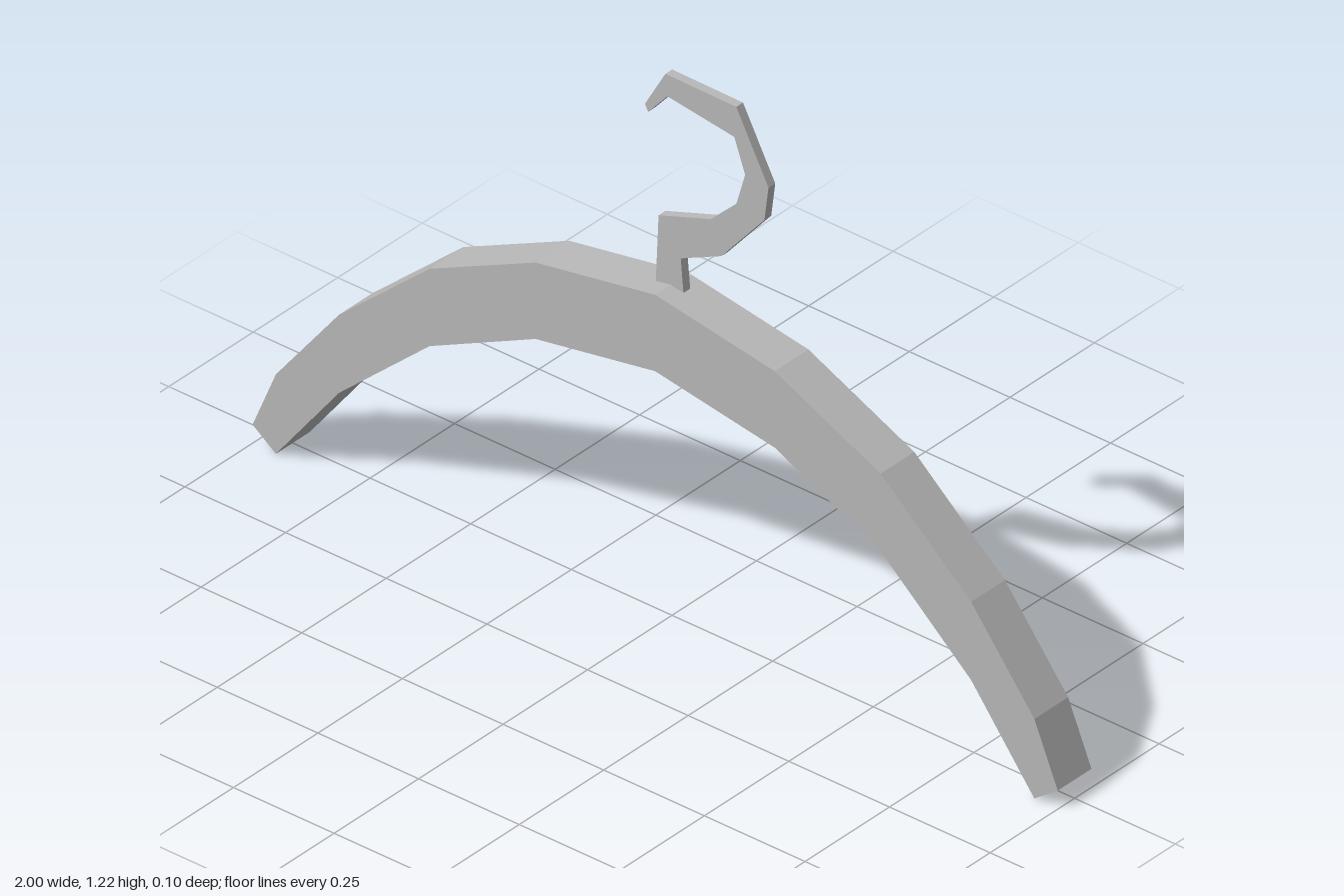
import * as THREE from 'three';

// Extrude a flat outline between two depths
function plate(name, points, zBack, zFront, material) {
  const shape = new THREE.Shape(points.map(([x, y]) => new THREE.Vector2(x, y)));
  const geometry = new THREE.ExtrudeGeometry(shape, { depth: zFront - zBack, bevelEnabled: false });
  geometry.translate(0, 0, zBack);
  const mesh = new THREE.Mesh(geometry, material);
  mesh.name = name;
  return mesh;
}

export function createModel() {
  const group = new THREE.Group();
  group.name = 'coatHanger';
  const grey = new THREE.MeshStandardMaterial({ color: 0xb8b8b8 });
  grey.name = 'grey';

  // Curved shoulder bar: half outline from top centre round the tip to bottom centre, then mirrored
  const half = [
    [0, 0.75], [0.297, 0.70], [0.56, 0.577], [0.785, 0.38], [0.942, 0.18], [1, 0.042],
    [0.942, 0], [0.785, 0.203], [0.56, 0.402], [0.297, 0.527], [0, 0.577],
  ];
  const mirrored = half.slice(1, -1).reverse().map(([x, y]) => [-x, y]);
  group.add(plate('shoulderBar', [...half, ...mirrored], -0.05, 0.05, grey));

  // Thin angular hook, set slightly behind the middle of the bar
  const hook = [
    [-0.037, 0.742], [-0.03, 0.895], [0.1, 0.94], [0.163, 1.0], [0.185, 1.075], [0.158, 1.15],
    [-0.008, 1.173], [-0.056, 1.118], [-0.064, 1.133], [-0.013, 1.222], [0.163, 1.22],
    [0.243, 1.07], [0.233, 0.993], [0.126, 0.867], [0.025, 0.82], [0.032, 0.742],
  ];
  group.add(plate('hook', hook, -0.016, 0.004, grey));

  return group;
}
